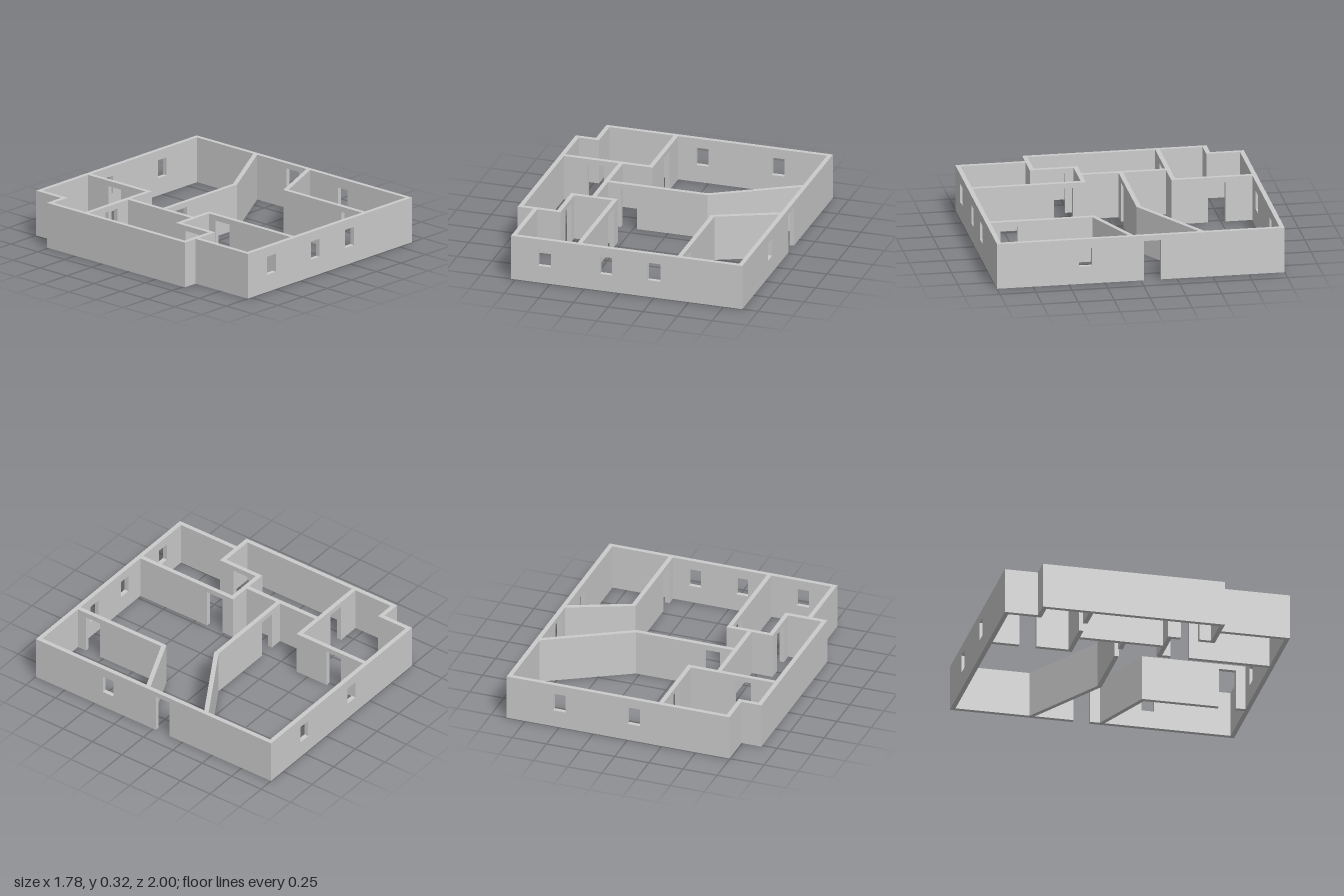
import * as THREE from 'three';

const HEIGHT = 0.323, THICK = 0.032, DOOR_TOP = 0.285, SILL = 0.125, HEAD = 0.255;
const HALF = THICK / 2;

const material = new THREE.MeshStandardMaterial({ color: 0xcccccc });

// Straight wall between two plan points [x, z]. Openings are given in metres along
// the wall from its first point; ext lengthens each end to close the corners.
function wall(name, a, b, { doors = [], windows = [], ext = [HALF, HALF] } = {}) {
  const dx = b[0] - a[0], dz = b[1] - a[1];
  const length = Math.hypot(dx, dz);
  const shape = new THREE.Shape();
  shape.moveTo(-ext[0], 0);
  for (const [s, e] of doors) {
    shape.lineTo(s, 0);
    shape.lineTo(s, DOOR_TOP);
    shape.lineTo(e, DOOR_TOP);
    shape.lineTo(e, 0);
  }
  shape.lineTo(length + ext[1], 0);
  shape.lineTo(length + ext[1], HEIGHT);
  shape.lineTo(-ext[0], HEIGHT);
  shape.closePath();
  for (const [s, e] of windows) {
    const hole = new THREE.Path();
    hole.moveTo(s, SILL);
    hole.lineTo(s, HEAD);
    hole.lineTo(e, HEAD);
    hole.lineTo(e, SILL);
    hole.closePath();
    shape.holes.push(hole);
  }
  const geometry = new THREE.ExtrudeGeometry(shape, { depth: THICK, bevelEnabled: false });
  geometry.translate(0, 0, -HALF);
  const mesh = new THREE.Mesh(geometry, material);
  mesh.name = name;
  mesh.position.set(a[0], 0, a[1]);
  mesh.rotation.y = -Math.atan2(dz, dx);
  return mesh;
}

// Walls along one axis; openings are given as plan coordinates on that axis
const shift = (list = [], o) => list.map(([s, e]) => [s - o, e - o]);
const alongX = (name, z, x0, x1, o = {}) =>
  wall(name, [x0, z], [x1, z], { ...o, doors: shift(o.doors, x0), windows: shift(o.windows, x0) });
const alongZ = (name, x, z0, z1, o = {}) =>
  wall(name, [x, z0], [x, z1], { ...o, doors: shift(o.doors, z0), windows: shift(o.windows, z0) });

export function createModel() {
  const model = new THREE.Group();
  model.name = 'floorPlan';

  // Outer walls
  const outer = new THREE.Group();
  outer.name = 'outerWalls';
  outer.add(
    alongX('frontWall', 0.984, -0.765, 0.869, {
      windows: [[-0.585, -0.495], [-0.14, -0.053], [0.203, 0.294]],
    }),
    alongX('backWall', -0.984, -0.73, 0.869, { windows: [[-0.09, 0], [0.455, 0.545]] }),
    alongZ('leftWall', 0.869, -0.984, 0.984, { doors: [[-0.138, -0.02]], windows: [[0.34, 0.43]] }),
    alongZ('rightWall', -0.875, -0.75, 0.5),
    alongZ('backNotchSide', -0.73, -0.984, -0.75),
    alongX('backNotchEnd', -0.75, -0.875, -0.73),
    alongX('frontNotchEnd', 0.5, -0.875, -0.6),
    alongZ('frontNotchSide', -0.765, 0.5, 0.984),
  );

  // Partitions between the rooms
  const inner = new THREE.Group();
  inner.name = 'partitions';
  inner.add(
    alongZ('backRoomSide', -0.236, -0.984, -0.42, { doors: [[-0.78, -0.66]] }),
    alongX('backRoomFront', -0.42, -0.875, -0.236, { doors: [[-0.69, -0.57]] }),
    alongZ('hallSide', -0.449, -0.42, 0.195, { ext: [0, 0] }),
    alongX('hallBack', -0.09, -0.449, 0.28, { doors: [[-0.34, -0.225]], ext: [0, 0.0043] }),
    wall('hallBackDiagonal', [0.28, -0.09], [0.869, -0.437], { ext: [0.0043, 0] }),
    alongZ('closetSide', -0.6, 0.195, 0.5, { doors: [[0.27, 0.4]] }),
    alongX('frontRoomBack', 0.195, -0.6, -0.295),
    alongZ('frontRoomSide', -0.295, 0.195, 0.984, { doors: [[0.27, 0.4]] }),
    alongZ('cornerRoomSide', 0.426, 0.25, 0.984, { doors: [[0.78, 0.9]], ext: [0.0105, 0] }),
    wall('cornerRoomDiagonal', [0.426, 0.25], [0.869, 0.058], { ext: [0.0105, 0] }),
  );

  model.add(outer, inner);
  return model;
}
